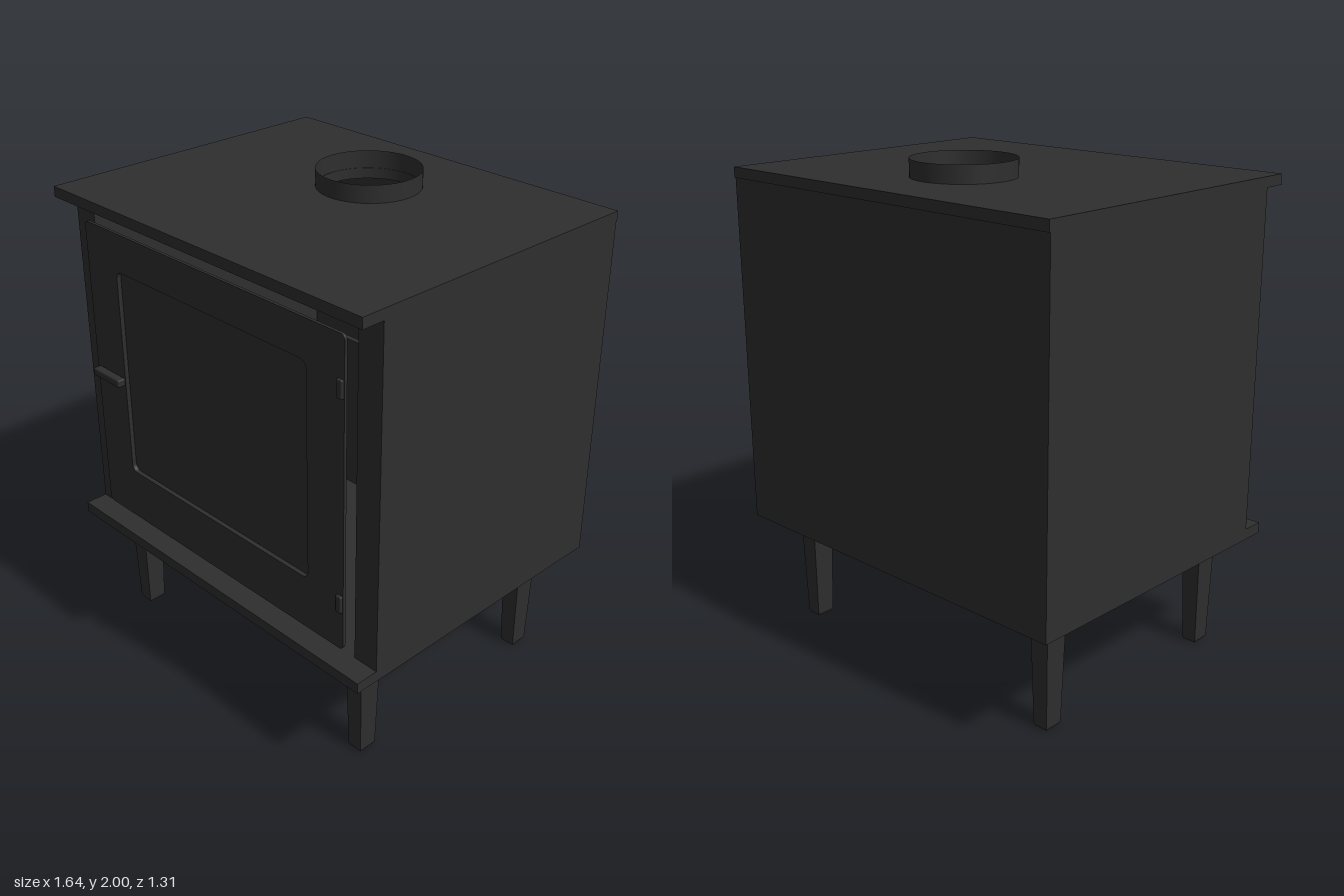
import * as THREE from 'three';
import { RoundedBoxGeometry } from 'three/addons/geometries/RoundedBoxGeometry.js';

const iron = new THREE.MeshStandardMaterial({ color: 0x2e2e2e });
iron.name = 'black iron';
const thinIron = new THREE.MeshStandardMaterial({ color: 0x2e2e2e, side: THREE.DoubleSide });
thinIron.name = 'black iron sheet';

function add(group, name, geometry, material = iron) {
  const mesh = new THREE.Mesh(geometry, material);
  mesh.name = name;
  group.add(mesh);
  return mesh;
}

// Box given by its limits along each axis
function box(group, name, [x0, x1], [y0, y1], [z0, z1], radius = 0) {
  const s = [x1 - x0, y1 - y0, z1 - z0];
  const geo = radius ? new RoundedBoxGeometry(...s, 2, radius) : new THREE.BoxGeometry(...s);
  const mesh = add(group, name, geo);
  mesh.position.set((x0 + x1) / 2, (y0 + y1) / 2, (z0 + z1) / 2);
  return mesh;
}

// Rectangle with rounded corners
function roundRect(x0, x1, y0, y1, r, Type = THREE.Shape) {
  const s = new Type();
  s.absarc(x1 - r, y0 + r, r, -Math.PI / 2, 0);
  s.absarc(x1 - r, y1 - r, r, 0, Math.PI / 2);
  s.absarc(x0 + r, y1 - r, r, Math.PI / 2, Math.PI);
  s.absarc(x0 + r, y0 + r, r, Math.PI, Math.PI * 1.5);
  s.closePath();
  return s;
}

// Tapered square leg, hanging down from the base, with a slightly bevelled foot
function legGeometry() {
  const levels = [[0.465, 0.042, 0.051], [0.012, 0.032, 0.039], [0, 0.027, 0.034]];
  const geo = new THREE.BoxGeometry(2, 2, 2, 1, 2, 1);
  const p = geo.attributes.position;
  for (let i = 0; i < p.count; i++) {
    const [y, hx, hz] = levels[1 - Math.round(p.getY(i))];
    p.setXYZ(i, p.getX(i) * hx, y, p.getZ(i) * hz);
  }
  const flat = geo.toNonIndexed();
  flat.computeVertexNormals();
  return flat;
}

export function createModel() {
  const stove = new THREE.Group();
  stove.name = 'stove';
  const flueZ = -0.21, flueR = 0.204;

  // Base and hollow firebox, open behind the door
  box(stove, 'basePlate', [-0.82, 0.82], [0.465, 0.51], [-0.65, 0.655]);
  box(stove, 'backPanel', [-0.71, 0.71], [0.51, 1.89], [-0.65, -0.61]);
  for (const side of [-1, 1]) {
    const wall = box(stove, side > 0 ? 'leftWall' : 'rightWall', [0.71, 0.82], [0.51, 1.89], [-0.65, 0.56]);
    wall.position.x *= side;
  }
  box(stove, 'rearBaffle', [-0.71, 0.71], [0.51, 1.2], [-0.305, -0.28]);

  // Top plate with the flue opening
  const top = new THREE.Shape();
  top.moveTo(-0.82, -0.655).lineTo(0.82, -0.655).lineTo(0.82, 0.655).lineTo(-0.82, 0.655).closePath();
  top.holes.push(new THREE.Path().absarc(0, -flueZ, flueR - 0.002, 0, Math.PI * 2, true));
  const topGeo = new THREE.ExtrudeGeometry(top, { depth: 0.042, bevelEnabled: false, curveSegments: 32 });
  topGeo.rotateX(-Math.PI / 2);
  add(stove, 'topPlate', topGeo).position.y = 1.888;

  // Open flue collar
  const collar = new THREE.CylinderGeometry(flueR, flueR, 0.075, 64, 1, true);
  add(stove, 'flueCollar', collar, thinIron).position.set(0, 1.9625, flueZ);

  // Door frame, window rim and glass
  const door = new THREE.Group();
  door.name = 'door';
  stove.add(door);
  const pane = [-0.52, 0.52, 0.785, 1.66];
  const frame = roundRect(-0.7, 0.7, 0.565, 1.815, 0.02);
  frame.holes.push(roundRect(...pane, 0.03, THREE.Path));
  const frameGeo = new THREE.ExtrudeGeometry(frame, { depth: 0.012, bevelEnabled: false });
  add(door, 'doorFrame', frameGeo).position.z = 0.598;
  const glass = new THREE.ShapeGeometry(roundRect(...pane, 0.03));
  add(door, 'windowGlass', glass).position.z = 0.592;
  const rim = roundRect(-0.525, 0.525, 0.78, 1.665, 0.035);
  rim.holes.push(roundRect(...pane, 0.03, THREE.Path));
  const rimGeo = new THREE.ExtrudeGeometry(rim, { depth: 0.012, bevelEnabled: false });
  add(door, 'windowRim', rimGeo).position.z = 0.586;

  // Handle and hinges
  box(door, 'handle', [-0.685, -0.52], [1.175, 1.207], [0.61, 0.646], 0.006);
  for (const y of [0.765, 1.62]) {
    box(door, 'hinge', [0.668, 0.697], [y - 0.036, y + 0.036], [0.592, 0.621], 0.006);
  }

  // Ash tray under the base
  box(stove, 'ashTray', [-0.565, 0.565], [0.27, 0.378], [-0.378, 0.385]);

  // Legs
  const leg = legGeometry();
  for (const x of [-0.66, 0.66]) {
    for (const z of [-0.458, 0.464]) {
      add(stove, z > 0 ? 'frontLeg' : 'backLeg', leg).position.set(x, 0, z);
    }
  }
  return stove;
}
